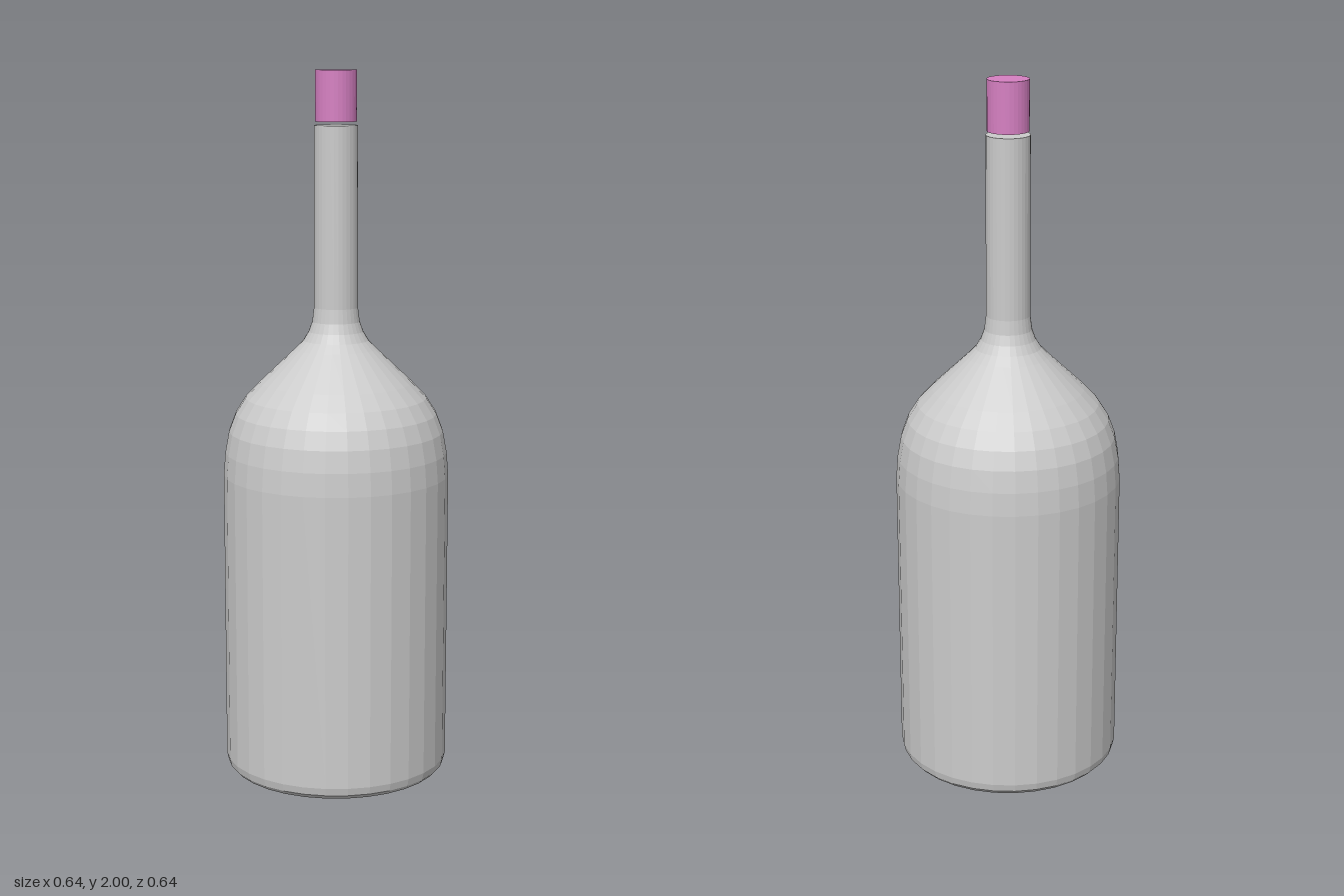
import * as THREE from 'three';

const SIDES = 32;

export function createModel() {
  const model = new THREE.Group();
  const glass = new THREE.MeshStandardMaterial({ color: 0xcccccc, flatShading: true });
  const pink = new THREE.MeshStandardMaterial({ color: 0xd680c2, flatShading: true });

  // Bottle: closed profile (radius, height) from base centre to neck top
  const profile = [
    [0, 0], [0.285, 0], [0.303, 0.005], [0.315, 0.018], [0.32, 0.04], // base and rounded rim
    [0.32, 0.87], // straight body
    [0.315, 0.935], [0.304, 0.995], [0.285, 1.045], [0.256, 1.09], [0.215, 1.133], // shoulder
    [0.115, 1.228], [0.092, 1.252], [0.077, 1.277], [0.067, 1.305], [0.062, 1.345], // neck flare
    [0.061, 1.85], [0, 1.85], // neck
  ].map(([r, y]) => new THREE.Vector2(r, y));
  const bottle = new THREE.Mesh(new THREE.LatheGeometry(profile, SIDES), glass);
  bottle.name = 'bottle';
  model.add(bottle);

  // Stopper, set just above the neck
  const stopper = new THREE.Mesh(new THREE.CylinderGeometry(0.058, 0.058, 0.14, SIDES), pink);
  stopper.name = 'stopper';
  stopper.position.y = 1.93;
  model.add(stopper);

  return model;
}
